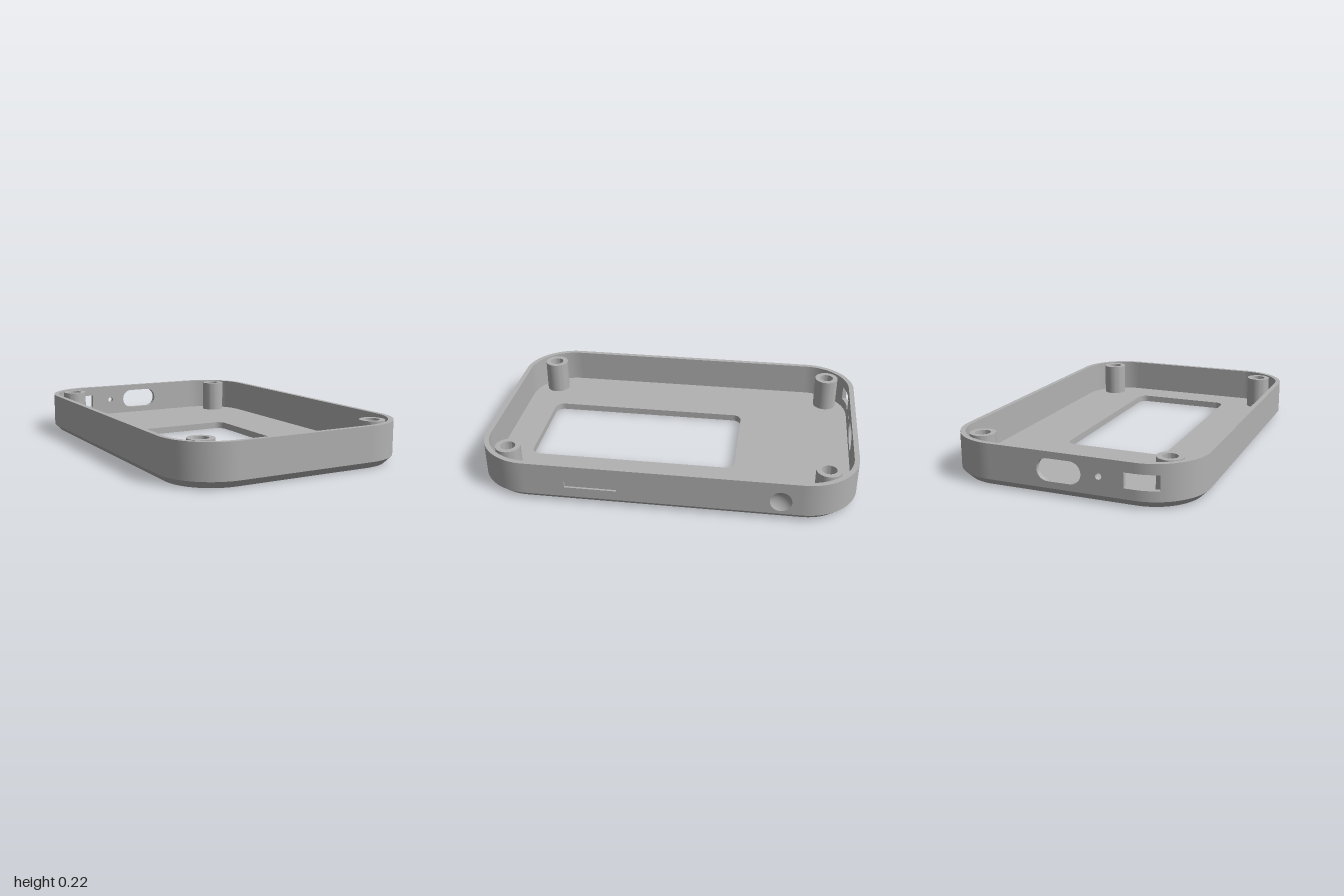
import * as THREE from 'three';
import { toCreasedNormals } from 'three/addons/utils/BufferGeometryUtils.js';

// Overall sizes
const HX = 0.66, HZ = 1, H = 0.22, R = 0.28;   // half width, half length, height, corner radius
const WALL = 0.027, CH = 0.037;                // wall thickness, chamfer and floor height
const CX = HX - R, CZ = HZ - R;                // corner centres
const CUT_Y0 = 0.09, CUT_Y1 = 0.167;           // card opening, lower and upper edge

export function createModel() {
  const group = new THREE.Group();
  const grey = new THREE.MeshStandardMaterial({ color: 0xb2b2b2, side: THREE.DoubleSide });
  grey.name = 'grey plastic';

  const add = (name, geometry, x = 0, y = 0, z = 0) => {
    const mesh = new THREE.Mesh(geometry, grey);
    mesh.name = name;
    mesh.position.set(x, y, z);
    group.add(mesh);
    return mesh;
  };
  const box = (name, x0, x1, y0, y1, z0, z1) =>
    add(name, new THREE.BoxGeometry(x1 - x0, y1 - y0, z1 - z0), (x0 + x1) / 2, (y0 + y1) / 2, (z0 + z1) / 2);
  const extrude = (shape, depth) =>
    toCreasedNormals(new THREE.ExtrudeGeometry(shape, { depth, bevelEnabled: false, curveSegments: 24 }), 0.5);
  // Plan shapes use x and -z, and are extruded upwards
  const slab = (name, shape, y0, y1) => add(name, extrude(shape, y1 - y0).rotateX(-Math.PI / 2), 0, y0, 0);

  const arc = (cx, cy, r, a0, a1, n = 24) => Array.from({ length: n + 1 }, (_, i) => {
    const a = a0 + (a1 - a0) * i / n;
    return new THREE.Vector2(cx + r * Math.cos(a), cy + r * Math.sin(a));
  });
  const roundedRect = (x0, x1, y0, y1, r) => [
    ...arc(x1 - r, y1 - r, r, 0, Math.PI / 2),
    ...arc(x0 + r, y1 - r, r, Math.PI / 2, Math.PI),
    ...arc(x0 + r, y0 + r, r, Math.PI, Math.PI * 1.5),
    ...arc(x1 - r, y0 + r, r, Math.PI * 1.5, Math.PI * 2),
  ];
  const outline = (inset) => roundedRect(-HX + inset, HX - inset, -HZ + inset, HZ - inset, R - inset);
  const rect = (x0, x1, y0, y1) => [[x0, y0], [x1, y0], [x1, y1], [x0, y1]].map((p) => new THREE.Vector2(...p));
  const withHoles = (points, holes) => {
    const shape = new THREE.Shape(points);
    shape.holes = holes.map((h) => new THREE.Path(h));
    return shape;
  };

  // Floor: a lower layer with the window and vent grooves, an upper one with the window only
  const grooveDepth = 0.015;
  const windowHole = roundedRect(-0.285, 0.285, -0.795, 0.345, 0.05);
  const grooves = [0.64, 0.72, 0.8, 0.88].map((s) => rect(-0.345, 0.345, s - 0.01, s + 0.01));
  slab('floorBottom', withHoles(outline(CH), [windowHole, ...grooves]), 0, grooveDepth);
  slab('floorTop', withHoles(outline(0.024), [windowHole]), grooveDepth, CH);

  // Chamfer: a strip between the inset foot outline and the full outline
  const low = outline(CH), high = outline(0), pos = [], index = [];
  low.forEach((p, i) => pos.push(p.x, 0, -p.y, high[i].x, CH, -high[i].y));
  low.forEach((_, i) => {
    const a = 2 * i, b = 2 * ((i + 1) % low.length);
    index.push(a, b, b + 1, a, b + 1, a + 1);
  });
  const strip = new THREE.BufferGeometry();
  strip.setAttribute('position', new THREE.Float32BufferAttribute(pos, 3));
  strip.setIndex(index);
  strip.computeVertexNormals();
  add('bottomChamfer', strip);

  // Rounded corner walls; the card opening runs into the back corner at -x
  const corner = (sx, ss, a0, a1, y0, y1) => {
    const points = [
      ...arc(sx * CX, ss * CZ, R, a0, a1),
      ...arc(sx * CX, ss * CZ, R - WALL, a1, a0),
    ];
    slab('cornerWall', new THREE.Shape(points), y0, y1);
  };
  const q = Math.PI / 2, cutEnd = q + Math.asin(0.12 / R);
  corner(1, 1, 0, q, CH, H);
  corner(-1, 1, q, cutEnd, CH, CUT_Y0);
  corner(-1, 1, q, cutEnd, CUT_Y1, H);
  corner(-1, 1, cutEnd, 2 * q, CH, H);
  corner(-1, -1, 2 * q, 3 * q, CH, H);
  corner(1, -1, 3 * q, 4 * q, CH, H);

  // Plain straight walls
  box('frontWall', -CX, CX, CH, H, HZ - WALL, HZ);
  box('sideWall', -HX, -HX + WALL, CH, H, -CZ, CZ);

  // Back wall with plug opening, pinhole and the start of the card opening
  const backPoints = [
    [-CX, CH], [CX, CH], [CX, H], [-CX, H],
    [-CX, CUT_Y1], [-0.33, CUT_Y1], [-0.33, CUT_Y0], [-CX, CUT_Y0],
  ].map((p) => new THREE.Vector2(...p));
  const plug = roundedRect(-0.115, 0.115, 0.071, 0.185, 0.0569);
  const pinhole = arc(-0.205, 0.13, 0.016, 0, Math.PI * 2);
  add('backWall', extrude(withHoles(backPoints, [plug, pinhole]), WALL), 0, 0, -HZ);

  // Wall at +x: outer layer with button recesses, closed by a thin inner layer
  const layer = 0.02, dimpleR = 0.056, dimpleZ = -0.61, dimpleDepth = 0.0195;
  const sidePoints = rect(-CZ, CZ, CH, H);
  const slot = rect(-0.505, -0.23, 0.092, 0.13);
  const dimpleHole = arc(-dimpleZ, 0.11, dimpleR, 0, Math.PI * 2, 40);
  add('buttonWall', extrude(withHoles(sidePoints, [slot, dimpleHole]), layer).rotateY(Math.PI / 2), HX - layer);
  box('buttonWallBacking', HX - WALL, HX - layer, CH, H, -CZ, CZ);
  box('slotBottom', HX - layer, HX - 0.012, 0.092, 0.13, 0.23, 0.505);

  // Concave round button
  const bowlR = (dimpleR ** 2 + dimpleDepth ** 2) / (2 * dimpleDepth);
  const bowlEnd = Math.asin(dimpleR / bowlR);
  const bowl = Array.from({ length: 11 }, (_, i) => {
    const a = bowlEnd * (1 - i / 10);
    return new THREE.Vector2(bowlR * Math.sin(a), bowlR * (1 - Math.cos(a)));
  });
  add('roundDimple', new THREE.LatheGeometry(bowl, 40).rotateZ(-Math.PI / 2), HX - dimpleDepth, 0.11, dimpleZ);

  // Hollow screw posts
  const postProfile = [[0.067, CH], [0.067, 0.218], [0.039, 0.218], [0.039, CH]].map((p) => new THREE.Vector2(...p));
  const post = toCreasedNormals(new THREE.LatheGeometry(postProfile, 40), 0.5);
  for (const x of [-0.5, 0.5]) for (const z of [-0.843, 0.843]) add('screwPost', post, x, 0, z);

  return group;
}
